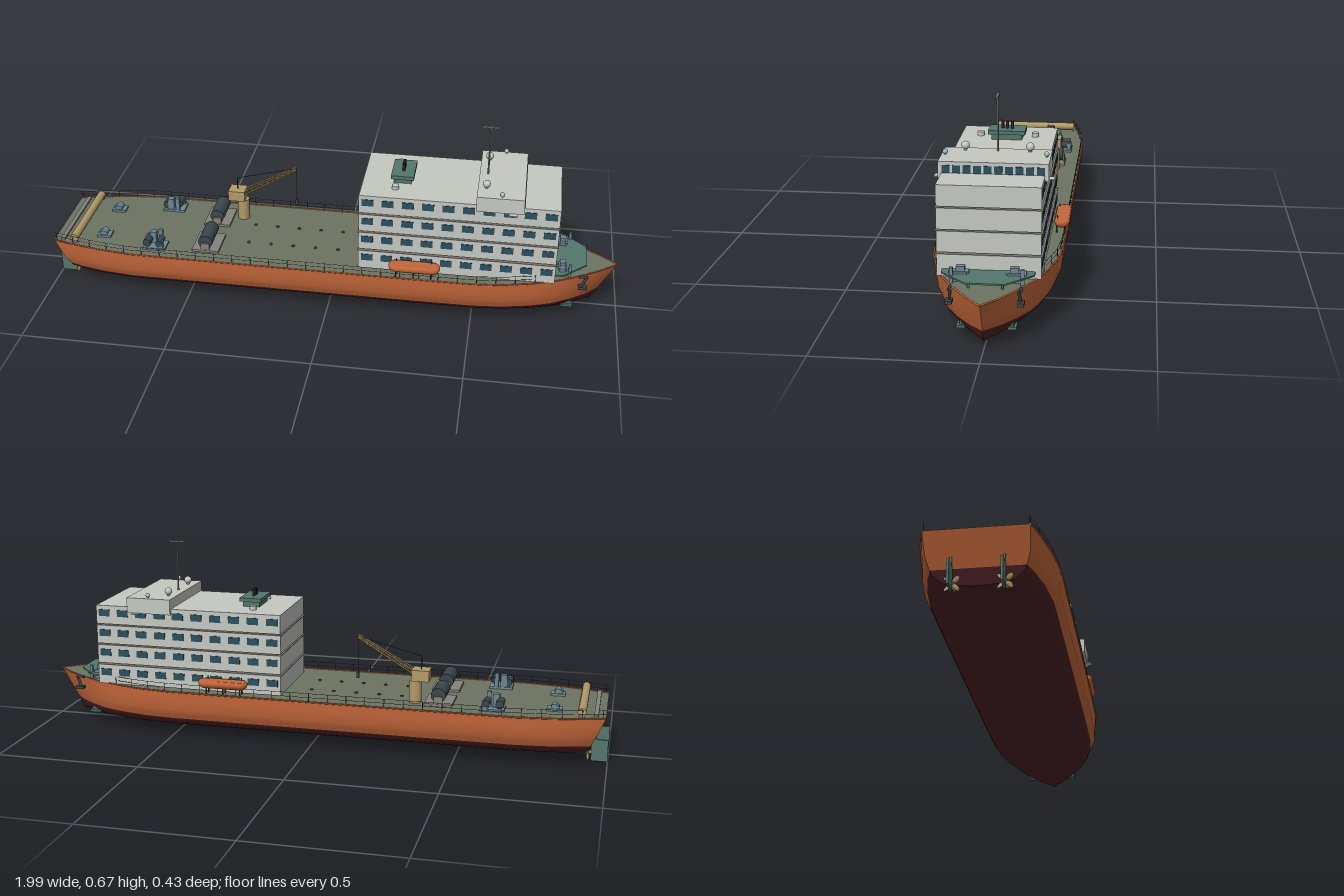
import * as THREE from 'three';
import { mergeGeometries } from 'three/addons/utils/BufferGeometryUtils.js';

const mat = (color, extra = {}) => new THREE.MeshStandardMaterial({ color, ...extra });
const M = {
  orange: mat(0xc4673a), red: mat(0x4e2226), deck: mat(0x6c7462), wall: mat(0xc6c8c2),
  slab: mat(0x85837c), glass: mat(0x2b4f5e), teal: mat(0x53776c), tan: mat(0xb39b68),
  steel: mat(0x6c8792), dark: mat(0x3a474c), black: mat(0x22282a), pale: mat(0x9cc4c8),
};
const V = (x, y, z) => new THREE.Vector3(x, y, z);
const box = (w, h, d, x = 0, y = 0, z = 0) => new THREE.BoxGeometry(w, h, d).translate(x, y, z);
const ball = (r, x, y, z) => new THREE.SphereGeometry(r, 20, 14).translate(x, y, z);

// cylinder between two points
function rod(a, b, r, sides = 8, r2 = r) {
  const d = b.clone().sub(a);
  const q = new THREE.Quaternion().setFromUnitVectors(V(0, 1, 0), d.clone().normalize());
  return new THREE.CylinderGeometry(r2, r, d.length(), sides).applyQuaternion(q)
    .translate((a.x + b.x) / 2, (a.y + b.y) / 2, (a.z + b.z) / 2);
}

// surface through rows of points
function grid(rows) {
  const n = rows[0].length, idx = [];
  for (let i = 0; i < rows.length - 1; i++) for (let j = 0; j < n - 1; j++) {
    const a = i * n + j, c = a + n;
    idx.push(a, a + 1, c, a + 1, c + 1, c);
  }
  const g = new THREE.BufferGeometry().setFromPoints(rows.flat());
  g.setIndex(idx);
  g.computeVertexNormals();
  return g;
}

const DECK = 0.172;
// deck plan: x, half breadth
const PLAN = [[-0.99, 0.152], [-0.92, 0.17], [-0.82, 0.19], [-0.7, 0.204], [-0.4, 0.205], [0, 0.205], [0.3, 0.205],
  [0.5, 0.203], [0.6, 0.193], [0.7, 0.168], [0.78, 0.14], [0.86, 0.096], [0.93, 0.05], [0.99, 0]];
// cross-section: height, share of half breadth
const SIDE = [[DECK, 1], [0.14, 0.992], [0.105, 0.975], [0.085, 0.93], [0.07, 0.895]];
const BOTTOM = [[0.07, 0.895], [0.057, 0.855], [0.045, 0.76], [0.034, 0.65], [0.028, 0.4], [0.025, 0.15], [0.025, 0]];

function hullPoint([x, half], [y, f], s) {
  const drop = (DECK - y) / (DECK - 0.025);
  const bow = Math.max(0, (x - 0.6) / 0.39), stern = Math.max(0, (-x - 0.7) / 0.29);
  return V(x - 0.085 * drop * bow ** 2 + 0.065 * drop * stern ** 2, y, s * half * f);
}

function edgeAt(x) {
  let i = 0;
  while (i < PLAN.length - 2 && PLAN[i + 1][0] < x) i++;
  const [a, b] = [PLAN[i], PLAN[i + 1]];
  return a[1] + (b[1] - a[1]) * (x - a[0]) / (b[0] - a[0]);
}

export function createModel() {
  const ship = new THREE.Group();
  ship.name = 'supplyShip';
  const add = (name, material, ...geos) => {
    const g = geos.length > 1 ? mergeGeometries(geos.map(o => o.index ? o.toNonIndexed() : o)) : geos[0];
    const m = new THREE.Mesh(g, material);
    m.name = name;
    ship.add(m);
    return m;
  };

  // hull, transom and deck
  add('hullSideLeft', M.orange, grid(PLAN.map(p => SIDE.map(l => hullPoint(p, l, 1)))));
  add('hullSideRight', M.orange, grid(PLAN.map(p => [...SIDE].reverse().map(l => hullPoint(p, l, -1)))));
  add('hullBottom', M.red, grid(PLAN.map(p => [...BOTTOM.map(l => hullPoint(p, l, 1)),
    ...BOTTOM.slice(0, -1).reverse().map(l => hullPoint(p, l, -1))])));
  [[SIDE, M.orange], [BOTTOM, M.red]].forEach(([levels, m]) =>
    add('transom', m, grid(levels.map(l => [hullPoint(PLAN[0], l, 1), hullPoint(PLAN[0], l, -1)]))));
  add('deck', M.deck, grid(PLAN.map(p => [V(p[0], DECK, -p[1]), V(p[0], DECK, p[1])])));

  // gunwale and railing along the deck edge
  const gunwale = [], rails = [];
  for (const s of [1, -1]) {
    PLAN.slice(1).forEach((p, i) => {
      const q = PLAN[i];
      gunwale.push(rod(V(q[0], DECK, s * q[1]), V(p[0], DECK, s * p[1]), 0.003, 6));
      if (p[0] < 0.75) for (const h of [0.186, 0.2])
        rails.push(rod(V(q[0], h, s * (q[1] - 0.005)), V(p[0], h, s * (p[1] - 0.005)), 0.0008, 4));
    });
    for (let x = -0.98; x < 0.72; x += 0.065) {
      const z = s * (edgeAt(x) - 0.005);
      rails.push(rod(V(x, DECK, z), V(x, 0.2, z), 0.001, 4));
    }
  }
  add('gunwale', M.orange, ...gunwale);
  add('railing', M.dark, ...rails);

  // accommodation block: four tiers with open slits and floor plates
  const tiers = [[0.172, 0.24], [0.247, 0.312], [0.318, 0.383], [0.389, 0.455]];
  const walls = [], plates = [], panes = [];
  tiers.forEach(([y0, y1], i) => {
    walls.push(box(0.67, y1 - y0, 0.312, 0.44, (y0 + y1) / 2, 0));
    if (i < 3) plates.push(box(0.676, 0.003, 0.32, 0.44, y1 + 0.0015, 0));
    for (let k = 0; k < 10; k++) for (const s of [1, -1])
      panes.push(box(0.04, 0.024, 0.004, 0.135 + k * 0.0678, y1 - 0.026, s * 0.156));
  });
  add('accommodationTiers', M.wall, ...walls);
  add('tierPlates', M.slab, ...plates);
  add('cabinWindows', M.glass, ...panes);

  // bridge with forward windows and wings
  add('bridge', M.wall, box(0.158, 0.054, 0.334, 0.576, 0.463, 0));
  const bridgePanes = [];
  for (let k = 0; k < 10; k++) bridgePanes.push(box(0.004, 0.024, 0.024, 0.655, 0.467, (k - 4.5) * 0.0318));
  add('bridgeWindows', M.glass, ...bridgePanes);
  add('bridgeWings', M.wall, box(0.03, 0.003, 0.366, 0.62, 0.436, 0));

  // mast, domes and lamps
  add('mast', M.slab, rod(V(0.525, 0.49, 0), V(0.525, 0.665, 0), 0.003), box(0.058, 0.005, 0.008, 0.525, 0.665, 0));
  for (const s of [1, -1]) {
    add('radarDome', M.wall, ball(0.013, 0.525, 0.506, s * 0.1), rod(V(0.525, 0.488, s * 0.1), V(0.525, 0.498, s * 0.1), 0.005));
    add('searchlight', M.pale, ball(0.008, 0.58, 0.5, s * 0.155), rod(V(0.58, 0.488, s * 0.155), V(0.58, 0.495, s * 0.155), 0.002));
    add('roofVent', M.wall, rod(V(0.22, 0.455, s * 0.09), V(0.22, 0.468, s * 0.09), 0.012, 16));
  }

  // funnel casing with exhausts
  add('funnelCasing', M.teal, box(0.06, 0.02, 0.1, 0.24, 0.464, 0), box(0.078, 0.013, 0.122, 0.24, 0.48, 0));
  add('exhaustPipes', M.black, ...[-0.016, 0, 0.016].map(z => rod(V(0.24, 0.48, z), V(0.24, 0.511, z), 0.005, 12)));

  for (const s of [1, -1]) {
    // lifeboats on davits
    const boat = new THREE.CapsuleGeometry(0.025, 0.125, 8, 24).rotateZ(Math.PI / 2).scale(1, 0.8, 1);
    const p = boat.attributes.position;
    for (let i = 0; i < p.count; i++) p.setY(i, Math.min(p.getY(i), 0.01));
    boat.computeVertexNormals();
    add('lifeboat', M.orange, boat.translate(0.302, 0.212, s * 0.19));
    add('lifeboatCradle', M.dark, ...[0.24, 0.3, 0.36].flatMap(x => [0.172, 0.198].map(z =>
      rod(V(x, DECK, s * z), V(x, 0.2, s * z), 0.0025, 6))),
      ...[0.24, 0.36].map(x => rod(V(x, 0.2, s * 0.175), V(x, 0.231, s * 0.175), 0.002, 6)));

    // cable drums
    add('drumFrame', M.slab, box(0.095, 0.008, 0.12, -0.438, 0.176, s * 0.09),
      ...[0.035, 0.145].map(z => box(0.03, 0.03, 0.006, -0.438, 0.19, s * z)));
    add('cableDrum', M.dark, rod(V(-0.438, 0.208, s * 0.038), V(-0.438, 0.208, s * 0.142), 0.025, 24));

    // mooring winches, aft and midship
    add('winch', M.steel, box(0.08, 0.008, 0.06, -0.62, 0.176, s * 0.135), box(0.022, 0.045, 0.02, -0.63, 0.2, s * 0.118),
      box(0.02, 0.028, 0.014, -0.597, 0.192, s * 0.155), box(0.014, 0.055, 0.012, -0.605, 0.2, s * 0.112));
    add('winchDrums', M.dark, rod(V(-0.645, 0.196, s * 0.11), V(-0.645, 0.196, s * 0.16), 0.014, 16),
      rod(V(-0.6, 0.198, s * 0.12), V(-0.6, 0.198, s * 0.165), 0.012, 16));
    add('capstan', M.steel, box(0.05, 0.008, 0.04, -0.82, 0.176, s * 0.09), box(0.022, 0.012, 0.024, -0.825, 0.184, s * 0.09),
      rod(V(-0.82, 0.184, s * 0.075), V(-0.82, 0.184, s * 0.106), 0.012, 14));
    add('windlass', M.steel, box(0.03, 0.03, 0.045, 0.8, 0.187, s * 0.083), box(0.02, 0.02, 0.026, 0.8, 0.207, s * 0.08),
      rod(V(0.8, 0.196, s * 0.055), V(0.8, 0.196, s * 0.115), 0.011, 14), box(0.01, 0.05, 0.011, 0.825, 0.195, s * 0.105));

    // anchors hanging at the bow
    add('anchor', M.dark, rod(V(0.885, 0.174, s * 0.1), V(0.868, 0.135, s * 0.104), 0.005),
      box(0.03, 0.01, 0.02, 0.873, 0.134, s * 0.105), rod(V(0.858, 0.174, s * 0.104), V(0.885, 0.174, s * 0.104), 0.005));

    // bow thruster fittings
    add('bowThruster', M.teal, box(0.04, 0.008, 0.026, 0.825, 0.042, s * 0.076),
      box(0.02, 0.026, 0.006, 0.83, 0.053, s * 0.076), box(0.022, 0.014, 0.018, 0.825, 0.05, s * 0.073));

    // rudder, shaft and propeller
    add('rudder', M.teal, box(0.055, 0.075, 0.007, -0.9725, 0.0375, s * 0.075),
      rod(V(-0.958, 0.07, s * 0.075), V(-0.958, 0.1, s * 0.075), 0.004));
    const blades = [];
    for (let k = 0; k < 4; k++) blades.push(new THREE.SphereGeometry(1, 12, 8).scale(0.003, 0.014, 0.008)
      .rotateY(0.5).translate(0, 0.017, 0).rotateX(Math.PI / 4 + k * Math.PI / 2).translate(-0.935, 0.03, s * 0.075));
    add('propeller', M.tan, ...blades, rod(V(-0.945, 0.03, s * 0.075), V(-0.89, 0.035, s * 0.075), 0.006, 12));
  }

  // deck fittings on the open cargo deck
  const pads = [];
  for (const x of [-0.3, -0.22, -0.14, -0.06, 0.02]) for (const z of [-0.06, 0.06])
    pads.push(rod(V(x, DECK, z), V(x, 0.175, z), 0.006, 10));
  add('deckSockets', M.dark, ...pads);

  // stern roller and its sill
  add('sternRoller', M.tan, rod(V(-0.912, 0.19, -0.158), V(-0.912, 0.19, 0.158), 0.014, 20));
  add('sternSill', M.slab, box(0.014, 0.008, 0.3, -0.958, 0.176, 0),
    ...[-0.155, 0.155].map(z => box(0.02, 0.02, 0.006, -0.912, 0.182, z)));

  // foredeck platform
  add('foredeckPlatform', M.teal, new THREE.CylinderGeometry(0.15, 0.15, 0.005, 8).rotateY(Math.PI / 8).translate(0.744, 0.193, 0),
    ...[-0.05, 0.05].map(z => rod(V(0.86, DECK, z), V(0.86, 0.193, z), 0.004)));

  // deck crane
  const cz = -0.112, foot = V(-0.35, 0.278, cz), tip = V(-0.157, 0.39, cz);
  add('cranePedestal', M.tan, rod(V(-0.355, DECK, cz), V(-0.355, 0.25, cz), 0.021, 20), box(0.06, 0.038, 0.055, -0.375, 0.27, cz));
  const truss = [];
  const chord = (t, dy, dz) => foot.clone().lerp(tip, t).add(V(0, dy * (1 - 0.5 * t), dz * (1 - 0.4 * t)));
  for (const dz of [-0.012, 0.012]) {
    for (const dy of [-0.007, 0.007]) truss.push(rod(chord(0, dy, dz), chord(1, dy, dz), 0.0028, 6));
    for (let k = 0; k < 10; k++) {
      const e = k % 2 ? 0.007 : -0.007;
      truss.push(rod(chord(k / 10, e, dz), chord((k + 1) / 10, -e, dz), 0.0018, 5));
      if (dz > 0) truss.push(rod(chord(k / 10, e, -dz), chord((k + 1) / 10, e, dz), 0.0018, 5));
    }
  }
  add('craneBoom', M.tan, ...truss);
  add('craneCables', M.dark, rod(V(-0.375, 0.333, cz), tip, 0.0013, 5), rod(V(-0.375, 0.288, cz), V(-0.375, 0.333, cz), 0.002, 5),
    rod(tip, V(-0.157, 0.262, cz), 0.001, 5), box(0.009, 0.02, 0.009, -0.157, 0.253, cz));

  return ship;
}
